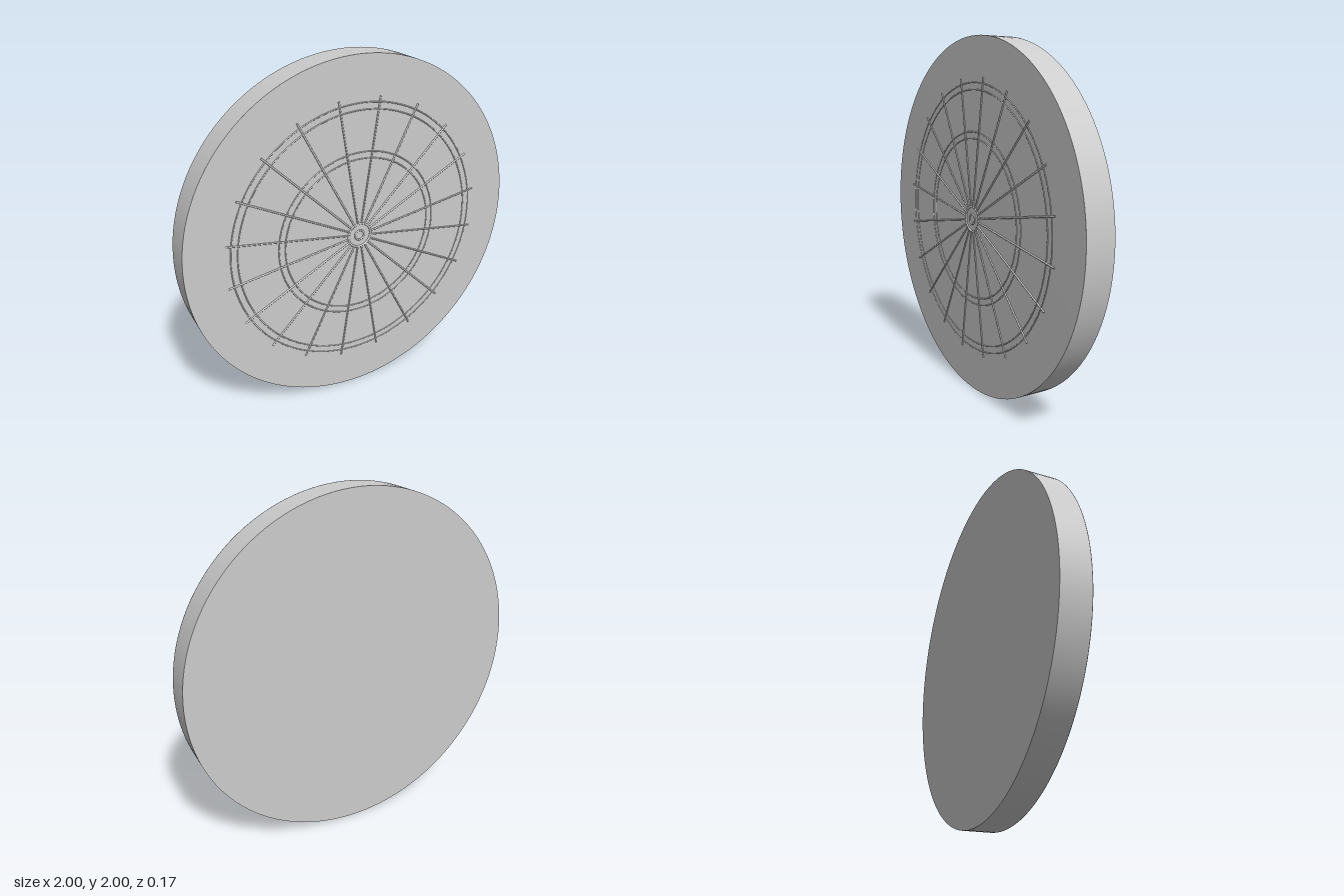
import * as THREE from 'three';

const BACK = -0.086, FACE = 0.08, SEGMENTS = 128;

export function createModel() {
  const group = new THREE.Group();
  group.name = 'targetBoard';
  const material = new THREE.MeshStandardMaterial({ color: 0xcccccc });

  // Board parts are made around the origin, facing +z; the group lifts them to y = 0
  const board = new THREE.Group();
  board.name = 'board';
  board.position.y = 1;
  group.add(board);

  const add = (name, geometry, parent = board) => {
    const mesh = new THREE.Mesh(geometry, material);
    mesh.name = name;
    parent.add(mesh);
    return mesh;
  };
  // Revolves [radius, z] pairs around the z axis
  const lathe = (points) => new THREE.LatheGeometry(
    points.map(([r, z]) => new THREE.Vector2(r, z)), SEGMENTS).rotateX(Math.PI / 2);

  // Disc: crisp back edge, front face softly shaded towards the rim
  add('backFace', lathe([[0, BACK], [1, BACK]]));
  add('side', lathe([[1, BACK], [1, FACE - 0.002]]));
  add('frontFace', lathe([[1, FACE - 0.002], [1, FACE], [0, FACE]]));

  // Ring wires, almost flush with the face
  const rings = new THREE.Group();
  rings.name = 'ringWires';
  board.add(rings);
  for (const radius of [0.45, 0.487, 0.715, 0.753]) {
    add('ringWire', new THREE.TorusGeometry(radius, 0.004, 8, SEGMENTS), rings)
      .position.z = FACE - 0.001;
  }

  // Centre rings
  add('outerBullRing', new THREE.TorusGeometry(0.07, 0.006, 10, 48)).position.z = FACE;
  add('innerBullRing', new THREE.TorusGeometry(0.028, 0.005, 10, 32)).position.z = FACE;

  // Twenty radial wires, half a sector off the vertical
  const spokes = new THREE.Group();
  spokes.name = 'radialWires';
  board.add(spokes);
  const inner = 0.07, outer = 0.785;
  const wire = new THREE.CylinderGeometry(0.005, 0.005, outer - inner, 8)
    .translate(0, (inner + outer) / 2, FACE + 0.001);
  for (let i = 0; i < 20; i++) {
    add('radialWire', wire, spokes).rotation.z = (i + 0.5) * Math.PI / 10;
  }
  return group;
}
